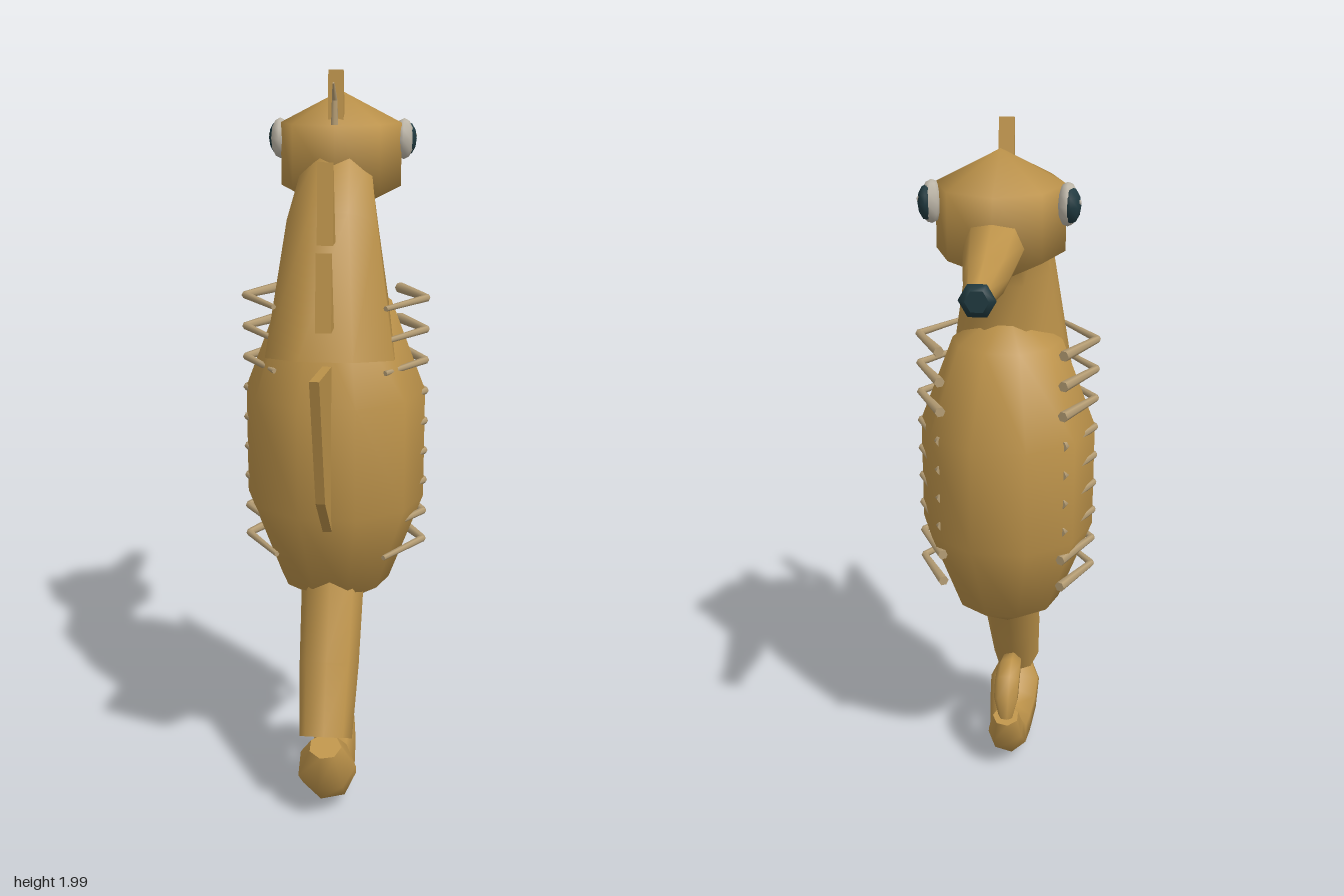
import * as THREE from 'three';

const mat = (name, color, side = THREE.FrontSide) => {
  const m = new THREE.MeshStandardMaterial({ color, side });
  m.name = name;
  return m;
};

// Tapered tube in the x = 0 plane through [z, y, radius] points, with flat caps
function taperedTube(points, sides, turn = 0) {
  const pos = [], idx = [];
  const ring = (i) => {
    const [z, y, r] = points[i];
    const a = points[Math.max(i - 1, 0)], b = points[Math.min(i + 1, points.length - 1)];
    const len = Math.hypot(b[0] - a[0], b[1] - a[1]);
    const tz = (b[0] - a[0]) / len, ty = (b[1] - a[1]) / len;
    const first = pos.length / 3;
    for (let j = 0; j < sides; j++) {
      const t = turn + (j / sides) * Math.PI * 2;
      pos.push(Math.cos(t) * r, y + Math.sin(t) * r * tz, z - Math.sin(t) * r * ty);
    }
    return first;
  };
  const starts = points.map((p, i) => ring(i));
  for (let i = 0; i + 1 < points.length; i++) {
    for (let j = 0; j < sides; j++) {
      const k = (j + 1) % sides;
      const a = starts[i] + j, b = starts[i] + k, c = starts[i + 1] + k, d = starts[i + 1] + j;
      idx.push(a, b, c, a, c, d);
    }
  }
  const s = ring(0), e = ring(points.length - 1);
  for (let j = 1; j + 1 < sides; j++) idx.push(s, s + j + 1, s + j, e, e + j, e + j + 1);
  const g = new THREE.BufferGeometry();
  g.setAttribute('position', new THREE.Float32BufferAttribute(pos, 3));
  g.setIndex(idx);
  g.computeVertexNormals();
  return g;
}

// Flat plate from a [z, y] outline, centred on x = 0
function plate(outline, thickness) {
  const shape = new THREE.Shape(outline.map(([z, y]) => new THREE.Vector2(-z, y)));
  const g = new THREE.ExtrudeGeometry(shape, { depth: thickness, bevelEnabled: false });
  g.translate(0, 0, -thickness / 2);
  g.rotateY(Math.PI / 2);
  return g;
}

// Thin tapered rod between two points
function rod(a, b, ra, rb) {
  const from = new THREE.Vector3(...a), to = new THREE.Vector3(...b);
  const dir = to.clone().sub(from);
  const g = new THREE.CylinderGeometry(rb, ra, dir.length(), 6);
  g.applyQuaternion(new THREE.Quaternion().setFromUnitVectors(
    new THREE.Vector3(0, 1, 0), dir.normalize()));
  const mid = from.add(to).multiplyScalar(0.5);
  g.translate(mid.x, mid.y, mid.z);
  return g;
}

function ellipsoid(center, radii, across, down) {
  const g = new THREE.SphereGeometry(1, across, down);
  g.scale(...radii);
  g.translate(...center);
  return g;
}

export function createModel() {
  const skin = mat('golden skin', 0xbd934a);
  const bone = mat('pale bone', 0xb59d74);
  const white = mat('eye white', 0xbdb6a8);
  const dark = mat('dark teal', 0x203a40);

  const model = new THREE.Group();
  model.name = 'seahorse';
  const add = (name, geometry, material, parent = model) => {
    const mesh = new THREE.Mesh(geometry, material);
    mesh.name = name;
    parent.add(mesh);
  };

  // Body, neck and head
  add('body', ellipsoid([0, 1.01, 0.062], [0.258, 0.49, 0.258], 10, 5), skin);
  add('neck', taperedTube([[0.16, 1.268, 0.182], [0.112, 1.61, 0.126], [-0.03, 1.75, 0.095]],
    8, Math.PI / 8), skin);
  add('head', ellipsoid([0, 1.777, -0.1], [0.19, 0.168, 0.221], 8, 3), skin);

  // Snout with a dark flared mouth
  add('snout', taperedTube([[-0.2, 1.745, 0.082], [-0.4, 1.7, 0.056], [-0.556, 1.69, 0.03]], 8), skin);
  add('mouth', taperedTube([[-0.55, 1.69, 0.027], [-0.563, 1.69, 0.044], [-0.574, 1.69, 0.028]], 6), dark);

  // Straight tail, curl and curled tip
  add('tail', taperedTube([[0.11, 0.68, 0.088], [0.24, 0.42, 0.082], [0.335, 0.245, 0.072]], 8), skin);
  add('tailCurl', taperedTube([[0.35, 0.225, 0.045], [0.325, 0.155, 0.082], [0.265, 0.1, 0.078],
    [0.18, 0.077, 0.067], [0.085, 0.1, 0.062], [0.035, 0.15, 0.054], [0.02, 0.205, 0.04]], 7), skin);
  add('tailTip', taperedTube([[0.022, 0.2, 0.022], [0.032, 0.262, 0.038], [0.065, 0.3, 0.039],
    [0.115, 0.315, 0.038], [0.165, 0.305, 0.035], [0.2, 0.283, 0.022]], 7), skin);

  // Back fin, spines and crest
  add('backFin', plate([[0.57, 1.3], [0.445, 0.955], [0.28, 0.82], [0.28, 1.27]], 0.024), skin);
  add('upperSpine', plate([[0.305, 1.785], [0.325, 1.585], [0.26, 1.585]], 0.04), skin);
  add('lowerSpine', plate([[0.35, 1.57], [0.37, 1.375], [0.3, 1.375]], 0.04), skin);
  add('crest', plate([[0.04, 2.0], [0.055, 1.84], [0.005, 1.86]], 0.04), skin);
  add('feelerBase', rod([0, 1.84, 0.078], [0, 1.925, 0.075], 0.011, 0.008), bone);
  add('feelerTip', rod([0, 1.922, 0.073], [0, 1.968, 0.106], 0.008, 0.003), bone);

  // Eyes and bent side ribs, mirrored
  const ribHeights = [1.413, 1.328, 1.243, 1.158, 1.073, 0.988, 0.903, 0.813, 0.73];
  for (const side of [1, -1]) {
    const name = side > 0 ? 'left' : 'right';
    const eye = new THREE.Group();
    eye.name = name + 'Eye';
    add('eyeWhite', ellipsoid([side * 0.17, 1.817, -0.13], [0.028, 0.055, 0.047], 8, 6), white, eye);
    add('pupil', ellipsoid([side * 0.179, 1.817, -0.143], [0.025, 0.045, 0.038], 8, 6), dark, eye);
    add('glint', ellipsoid([side * 0.2, 1.826, -0.148], [0.005, 0.007, 0.007], 6, 4), white, eye);
    model.add(eye);

    const ribs = new THREE.Group();
    ribs.name = name + 'Ribs';
    for (const y of ribHeights) {
      const apex = [side * 0.246, y, 0.058];
      add('rearRib', rod([side * 0.145, y - 0.003, 0.215], apex, 0.007, 0.01), bone, ribs);
      add('frontRib', rod(apex, [side * 0.165, y, -0.1], 0.01, 0.015), bone, ribs);
    }
    model.add(ribs);
  }
  return model;
}
